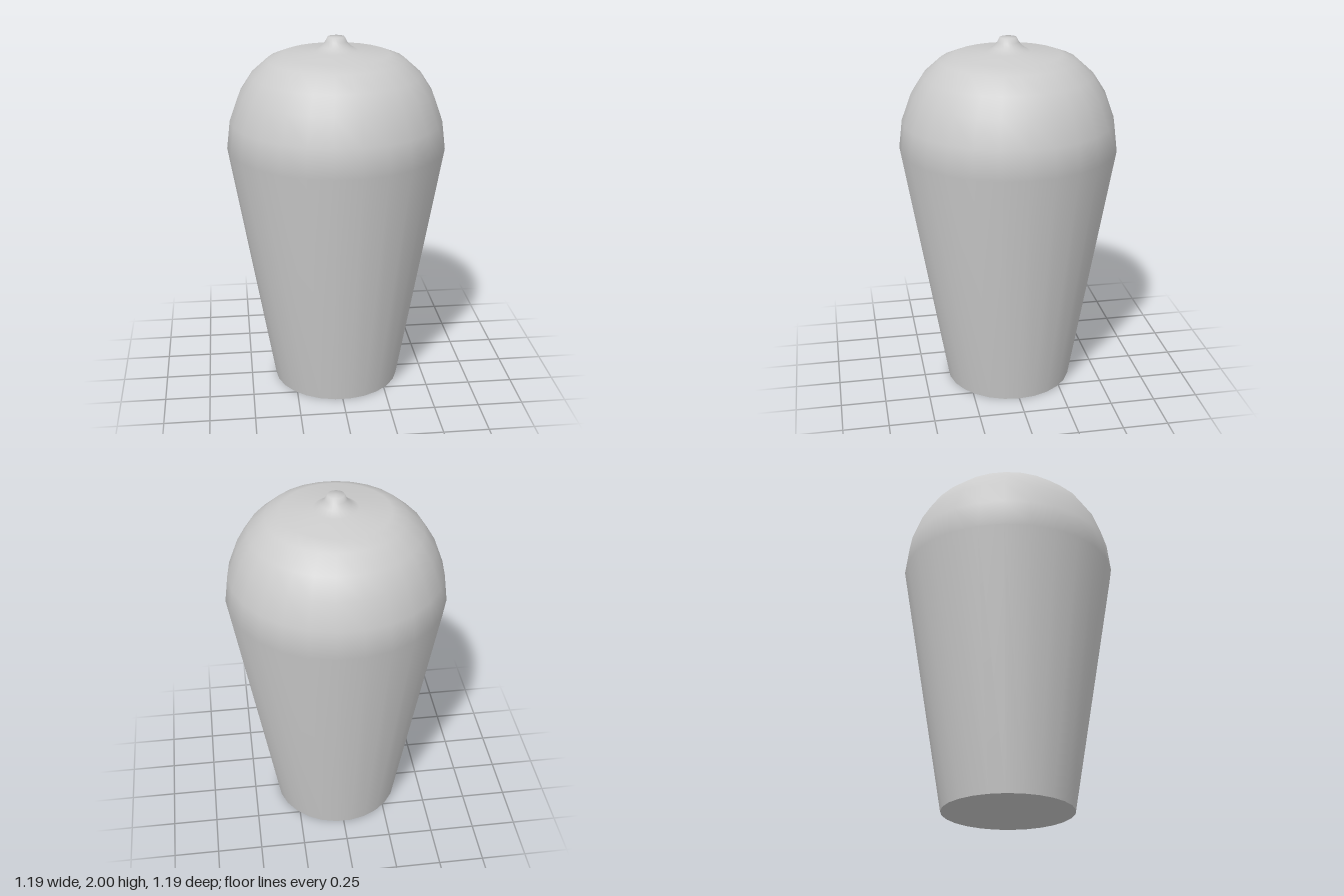
import * as THREE from 'three';
import { mergeVertices } from 'three/addons/utils/BufferGeometryUtils.js';

const SIDES = 26;

// Revolve a profile around y, with smooth normals and no shading seam
function revolve(profile) {
  const points = profile.map(([r, y]) => new THREE.Vector2(r, y));
  const lathe = new THREE.LatheGeometry(points, SIDES, Math.PI / 2);
  lathe.deleteAttribute('uv');
  lathe.deleteAttribute('normal');
  const geometry = mergeVertices(lathe, 1e-5);
  geometry.computeVertexNormals();
  return geometry;
}

export function createModel() {
  const model = new THREE.Group();
  model.name = 'taperedBulb';
  const material = new THREE.MeshStandardMaterial({ color: 0xcccccc });

  // Tapered wall, rounded shoulder and small flared tip in one profile
  const body = new THREE.Mesh(revolve([
    [0.357, 0], [0.597, 1.4],
    [0.578, 1.555], [0.525, 1.7], [0.46, 1.8], [0.37, 1.88], [0.29, 1.91],
    [0.12, 1.926], [0.08, 1.95], [0.058, 1.975], [0.045, 2], [0, 2],
  ]), material);
  body.name = 'body';
  model.add(body);

  // Flat underside
  const base = new THREE.Mesh(new THREE.CircleGeometry(0.357, SIDES), material);
  base.rotation.x = Math.PI / 2;
  base.name = 'base';
  model.add(base);

  return model;
}
